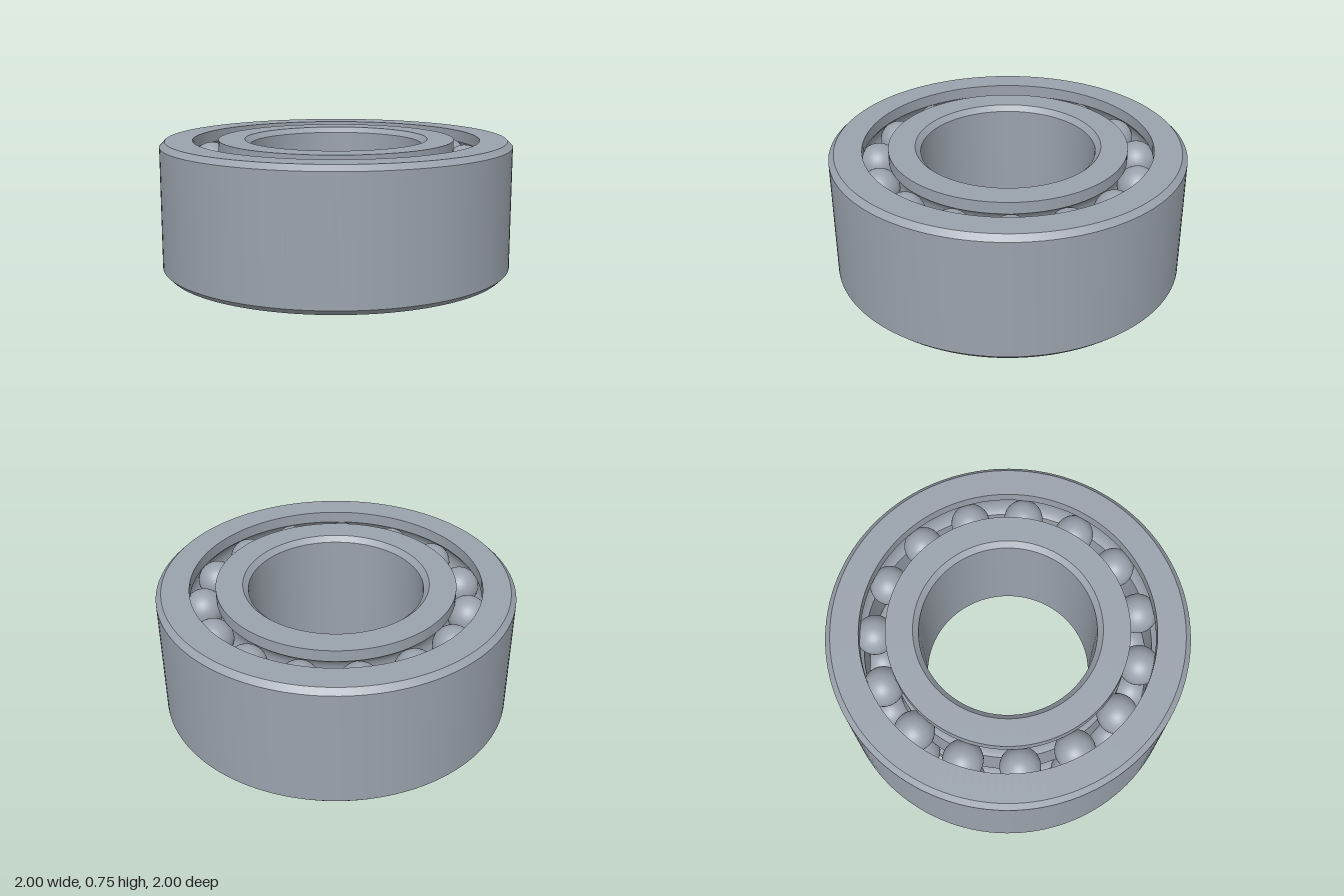
import * as THREE from 'three';
import { toCreasedNormals } from 'three/addons/utils/BufferGeometryUtils.js';

const H = 0.75;            // ring height
const CH = 0.03;           // chamfer
const OUTER = 1, BORE = 0.49;
const OUTER_LAND = 0.815, INNER_LAND = 0.67;
const PITCH = (OUTER_LAND + INNER_LAND) / 2;
const BALL = 0.112, GROOVE = 0.114;
const ROWS = [0.155, H - 0.155];
const BALLS_PER_ROW = 15;

// Arc of a ball groove; side +1 cuts into the outer ring, -1 into the inner ring
function grooveArc(y, side) {
  const half = Math.acos((OUTER_LAND - PITCH) / GROOVE);
  const points = [];
  for (let i = 0; i <= 12; i++) {
    const t = side * half * (1 - i / 6);
    points.push([PITCH + side * GROOVE * Math.cos(t), y + GROOVE * Math.sin(t)]);
  }
  return points;
}

// Closed profile, listed counter-clockwise, turned about y
function ring(name, profile, material) {
  const points = [...profile, profile[0]].map(([r, y]) => new THREE.Vector2(r, y));
  const geometry = toCreasedNormals(new THREE.LatheGeometry(points, 128), Math.PI / 7);
  const mesh = new THREE.Mesh(geometry, material);
  mesh.name = name;
  return mesh;
}

export function createModel() {
  const model = new THREE.Group();
  model.name = 'doubleRowBallBearing';
  const steel = new THREE.MeshStandardMaterial({ color: 0x9aa2ac });
  steel.name = 'steel';

  // Outer ring: chamfered outside, two grooves inside
  model.add(ring('outerRing', [
    [OUTER - CH, 0], [OUTER, CH], [OUTER, H - CH], [OUTER - CH, H],
    [OUTER_LAND, H], ...grooveArc(ROWS[1], 1), ...grooveArc(ROWS[0], 1), [OUTER_LAND, 0],
  ], steel));

  // Inner ring: two grooves outside, chamfered bore
  model.add(ring('innerRing', [
    [INNER_LAND, 0], ...grooveArc(ROWS[0], -1), ...grooveArc(ROWS[1], -1), [INNER_LAND, H],
    [BORE + CH, H], [BORE, H - CH], [BORE, CH], [BORE + CH, 0],
  ], steel));

  // Two aligned rows of balls
  const ballGeometry = new THREE.SphereGeometry(BALL, 32, 20);
  ROWS.forEach((y, row) => {
    const group = new THREE.Group();
    group.name = row ? 'upperBallRow' : 'lowerBallRow';
    for (let i = 0; i < BALLS_PER_ROW; i++) {
      const a = Math.PI + (i / BALLS_PER_ROW) * Math.PI * 2;
      const ball = new THREE.Mesh(ballGeometry, steel);
      ball.name = 'ball';
      ball.position.set(PITCH * Math.cos(a), y, PITCH * Math.sin(a));
      group.add(ball);
    }
    model.add(group);
  });

  return model;
}
